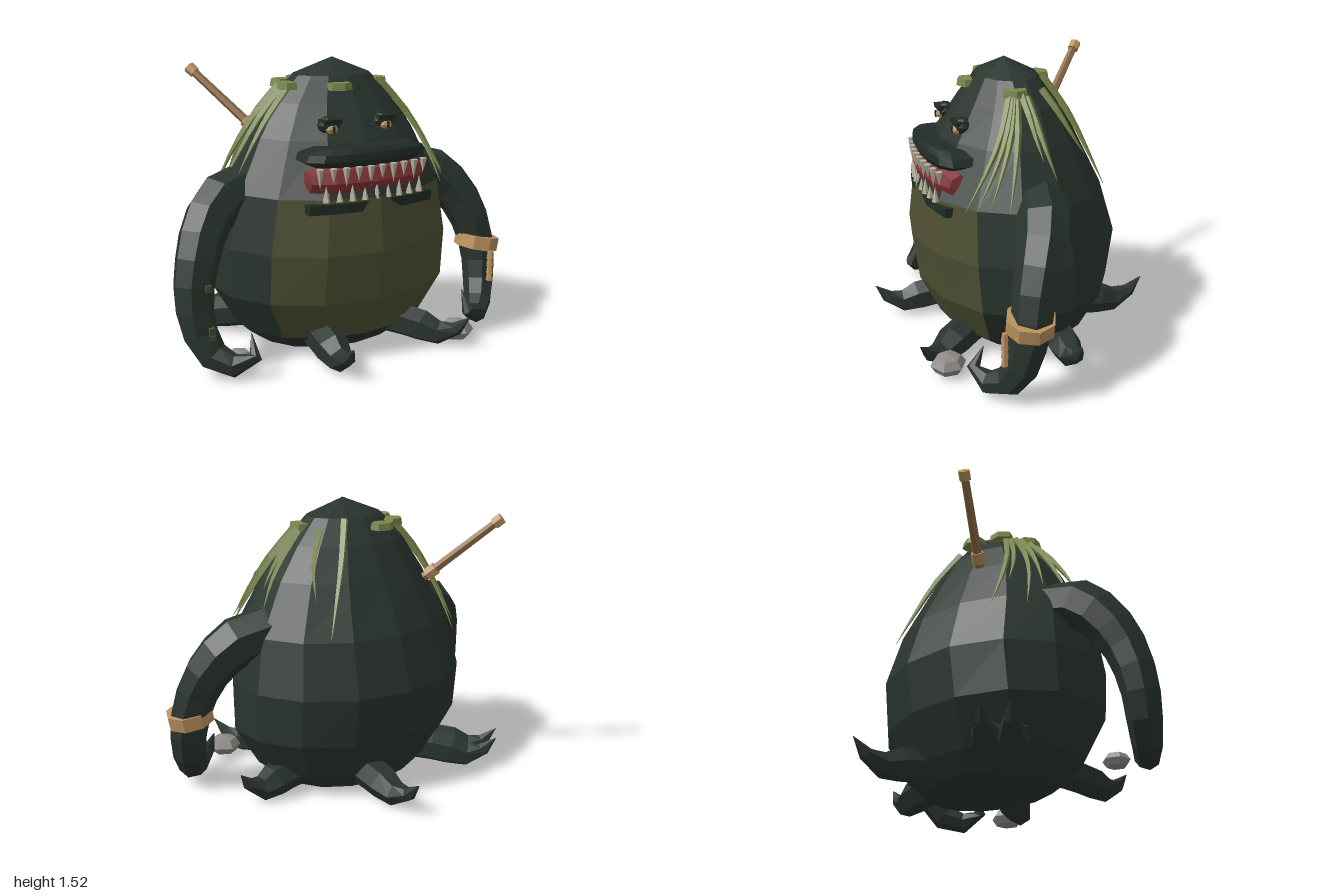
import * as THREE from 'three';

const mat = (name, color) => {
  const m = new THREE.MeshStandardMaterial({ color, flatShading: true });
  m.name = name;
  return m;
};

// Body rings: height, half width, front z, back z
const RINGS = [
  [0, 0, 0, 0], [0, 0.4, 0.31, -0.3], [0.1, 0.54, 0.43, -0.38], [0.32, 0.67, 0.54, -0.49],
  [0.58, 0.67, 0.575, -0.53], [0.86, 0.61, 0.54, -0.445], [1.13, 0.47, 0.4, -0.31],
  [1.3, 0.35, 0.29, -0.22], [1.43, 0.22, 0.2, -0.12], [1.515, 0, 0.05, 0.05],
];
const SIDES = 14;

function ringPoint([y, rx, zf, zb], a) {
  return [rx * Math.sin(a), y, (zf + zb) / 2 + ((zf - zb) / 2) * Math.cos(a)];
}

// Point on the body skin at an angle (degrees from the front) and a height
function skin(deg, y, lift) {
  let i = 2;
  while (i < RINGS.length - 2 && RINGS[i + 1][0] < y) i++;
  const t = (y - RINGS[i][0]) / (RINGS[i + 1][0] - RINGS[i][0]);
  const ring = RINGS[i].map((v, k) => v + (RINGS[i + 1][k] - v) * t);
  const a = THREE.MathUtils.degToRad(deg);
  const p = new THREE.Vector3(...ringPoint(ring, a));
  return p.add(new THREE.Vector3(Math.sin(a) * lift, lift * 0.5, Math.cos(a) * lift));
}

function bodyGeometry() {
  const pos = [], skinIdx = [], bellyIdx = [];
  RINGS.forEach((r) => {
    for (let j = 0; j < SIDES; j++) pos.push(...ringPoint(r, (j / SIDES) * Math.PI * 2));
  });
  for (let i = 0; i < RINGS.length - 1; i++) {
    for (let j = 0; j < SIDES; j++) {
      const a = i * SIDES + j, b = i * SIDES + ((j + 1) % SIDES);
      const onBelly = i >= 2 && i <= 4 && (j < 2 || j >= SIDES - 2);
      const list = onBelly ? bellyIdx : skinIdx;
      if (i > 0) list.push(a, b, b + SIDES);
      if (i < RINGS.length - 2) list.push(a, b + SIDES, a + SIDES);
    }
  }
  const g = new THREE.BufferGeometry();
  g.setAttribute('position', new THREE.Float32BufferAttribute(pos, 3));
  g.setIndex([...skinIdx, ...bellyIdx]);
  g.addGroup(0, skinIdx.length, 0);
  g.addGroup(skinIdx.length, bellyIdx.length, 1);
  g.computeVertexNormals();
  return g;
}

// Tube along a path whose radius follows a list of values
function taper(points, radii, steps, sides) {
  const curve = new THREE.CatmullRomCurve3(points.map((p) => (p.isVector3 ? p : new THREE.Vector3(...p))));
  const g = new THREE.TubeGeometry(curve, steps, 1, sides);
  const pos = g.attributes.position, v = new THREE.Vector3();
  for (let i = 0; i <= steps; i++) {
    const c = curve.getPointAt(i / steps);
    const f = (i / steps) * (radii.length - 1), k = Math.min(Math.floor(f), radii.length - 2);
    const r = THREE.MathUtils.lerp(radii[k], radii[k + 1], f - k);
    for (let j = 0; j <= sides; j++) {
      const n = i * (sides + 1) + j;
      v.fromBufferAttribute(pos, n).sub(c).multiplyScalar(r).add(c);
      pos.setXYZ(n, v.x, v.y, v.z);
    }
  }
  g.computeVertexNormals();
  return g;
}

// Move each vertex's z by a rule of x and z
function reshapeZ(g, rule) {
  const p = g.attributes.position;
  for (let i = 0; i < p.count; i++) p.setZ(i, rule(p.getX(i), p.getZ(i)));
  g.computeVertexNormals();
  return g;
}

export function createModel() {
  const M = {
    skin: mat('dark green skin', 0x2a342e),
    lip: mat('darker green', 0x222c27),
    belly: mat('olive belly', 0x4d4f32),
    moss: mat('moss', 0x79864a),
    gum: mat('mouth red', 0x7f3236),
    bone: mat('bone', 0xb9b39f),
    tan: mat('tan binding', 0xbb925e),
    wood: mat('wood', 0x8f6b46),
    stone: mat('stone', 0x8d8a87),
  };
  const root = new THREE.Group();
  root.name = 'swampCreature';
  const add = (name, g, m, p = [0, 0, 0], parent = root) => {
    const mesh = new THREE.Mesh(g, m);
    mesh.name = name;
    mesh.position.set(...p);
    parent.add(mesh);
    return mesh;
  };
  const lathe = (profile, n) => new THREE.LatheGeometry(profile.map((p) => new THREE.Vector2(...p)), n);

  add('body', bodyGeometry(), [M.skin, M.belly]);

  // Mouth: thick upper lip, red gums, lower lip
  const upper = lathe([[0, -0.045], [0.85, -0.045], [1, -0.015], [0.95, 0.02], [0.75, 0.045], [0, 0.05]], 14);
  reshapeZ(upper, (x, z) => Math.sign(z) * Math.abs(z) ** 0.6).scale(0.36, 1, 0.15);
  add('upperLip', upper, M.lip, [-0.01, 1.062, 0.372]);
  add('lowerLip', reshapeZ(new THREE.BoxGeometry(0.72, 0.05, 0.13, 8, 1, 1), (x, z) => z - 0.4 * x * x), M.lip, [-0.01, 0.818, 0.468]);
  const gum = lathe([[0, -0.34], [0.06, -0.33], [0.085, -0.22], [0.09, 0], [0.085, 0.22], [0.06, 0.33], [0, 0.34]], 8);
  gum.rotateZ(Math.PI / 2);
  add('gums', reshapeZ(gum, (x, z) => z - 0.5 * x * x), M.gum, [-0.01, 0.94, 0.445]);
  for (let i = 0; i < 10; i++) {
    const x = -0.315 + i * 0.067, z = 0.525 - 0.4 * x * x, h = i % 2 ? 0.075 : 0.1;
    add('upperTooth', new THREE.ConeGeometry(0.02, h, 5).rotateX(Math.PI), M.bone, [x, 1.02 - h / 2, z]);
    if (i < 9) add('lowerTooth', new THREE.ConeGeometry(0.02, h * 0.85, 5), M.bone, [x + 0.034, 0.852 + h * 0.42, z]);
  }

  // Eyes: dark socket, amber eye, slit pupil and heavy lid
  for (const x of [-0.175, 0.145]) {
    const socket = add('eyeSocket', new THREE.IcosahedronGeometry(0.058, 1), M.lip, [x, 1.205, 0.325]);
    socket.scale.set(1.08, 0.8, 0.8);
    const eye = add('eye', new THREE.SphereGeometry(0.036, 8, 6), M.tan, [x, 1.187, 0.356]);
    eye.scale.set(1, 0.68, 0.7);
    add('pupil', new THREE.BoxGeometry(0.012, 0.035, 0.008), M.lip, [x, 1.187, 0.379]);
    add('eyelid', new THREE.BoxGeometry(0.1, 0.022, 0.07), M.lip, [x, 1.225, 0.34]);
  }

  // Long arms curling into a hooked hand
  const armPath = [[0.42, 0.84, 0.03], [0.59, 0.86, 0.05], [0.745, 0.755, 0.11], [0.84, 0.58, 0.18], [0.885, 0.38, 0.22],
    [0.87, 0.2, 0.26], [0.82, 0.09, 0.32], [0.75, 0.06, 0.39], [0.68, 0.08, 0.44], [0.64, 0.13, 0.43], [0.65, 0.21, 0.385]];
  for (const s of [1, -1]) {
    const pts = armPath.map(([x, y, z]) => [x * s, y, z]);
    add(s > 0 ? 'leftArm' : 'rightArm', taper(pts, [0.13, 0.14, 0.13, 0.12, 0.11, 0.1, 0.09, 0.075, 0.045, 0.002], 12, 7), M.skin);
  }
  for (const [y, z] of [[0.45, 0.3], [0.24, 0.33], [0.2, 0.33]]) {
    add('armMoss', new THREE.BoxGeometry(0.03, 0.035, 0.04), M.belly, [-0.84, y, z]);
  }

  // Bracelet with a hanging string of beads
  const cuff = add('bracelet', new THREE.CylinderGeometry(0.125, 0.125, 0.075, 8), M.tan, [0.875, 0.425, 0.22]);
  cuff.rotation.z = -0.2;
  for (let i = 0; i < 4; i++) {
    add('bead', new THREE.CylinderGeometry(0.014, 0.02, 0.045, 6), M.tan, [0.875, 0.37 - i * 0.043, 0.35]);
  }

  // Toe claws: root and tip on the ground plan
  const claws = [[-0.22, 0.2, -0.27, 0.74], [0.15, 0.2, 0.49, 0.67], [0.13, -0.15, 0.12, -0.75],
    [0.3, -0.08, 0.77, -0.1], [-0.25, -0.14, -0.63, -0.55], [-0.3, -0.08, -0.73, -0.45]];
  for (const [x0, z0, x1, z1] of claws) {
    const at = (t, y) => [x0 + (x1 - x0) * t, y, z0 + (z1 - z0) * t];
    add('toeClaw', taper([at(0, 0.11), at(0.45, 0.095), at(0.77, 0.06), at(1, 0.17)], [0.08, 0.09, 0.09, 0.055, 0.001], 6, 6), M.skin);
  }

  // Moss pads around the crown
  for (const [x, z, a] of [[-0.23, -0.09, 0.5], [-0.09, -0.175, 0.2], [-0.275, 0.07, 1.5], [-0.06, 0.235, 0], [0.26, 0.08, 1.4]]) {
    const pad = add('mossPad', new THREE.CylinderGeometry(0.064, 0.072, 0.036, 6), M.moss, [x, 1.382, z]);
    pad.rotation.y = a;
    pad.scale.z = 0.8;
  }

  // Hanging moss strands: start angle, start height, end angle, end height
  const strands = [[70, 1.37, 46, 0.84], [74, 1.37, 53, 0.87], [76, 1.37, 60, 0.88], [79, 1.37, 70, 0.86], [86, 1.37, 93, 1.08],
    [92, 1.36, 100, 0.99], [152, 1.42, 143, 0.87], [122, 1.38, 134, 1.05], [-76, 1.36, -80, 0.95], [-88, 1.37, -93, 0.86],
    [-102, 1.36, -108, 0.92], [-108, 1.37, -118, 0.78], [-116, 1.37, -127, 0.95], [-122, 1.36, -136, 0.78]];
  for (const [a0, y0, a1, y1] of strands) {
    const pts = [0, 0.33, 0.66, 1].map((t) => skin(a0 + (a1 - a0) * t, y0 + (y1 - y0) * t, 0.01 + 0.02 * t));
    add('mossStrand', taper(pts, [0.021, 0.018, 0.011, 0.001], 6, 4), M.moss);
  }

  // Wooden shaft stuck in the back, bound at both ends
  const foot = new THREE.Vector3(-0.29, 1.1, -0.29), tip = new THREE.Vector3(-0.545, 1.425, -0.585);
  const shaft = new THREE.Group();
  shaft.name = 'shaft';
  shaft.position.copy(foot);
  const length = foot.distanceTo(tip);
  shaft.quaternion.setFromUnitVectors(new THREE.Vector3(0, 1, 0), tip.clone().sub(foot).normalize());
  add('shaftRod', new THREE.CylinderGeometry(0.022, 0.026, length, 6), M.wood, [0, length / 2, 0], shaft);
  add('shaftCollar', new THREE.CylinderGeometry(0.036, 0.036, 0.06, 6), M.tan, [0, 0.05, 0], shaft);
  add('shaftCap', new THREE.CylinderGeometry(0.032, 0.032, 0.05, 6), M.tan, [0, length - 0.015, 0], shaft);
  root.add(shaft);

  // Loose stones
  for (const [x, z, r] of [[-0.665, 0.26, 0.07], [0.505, 0.53, 0.095]]) {
    const rock = add('stone', new THREE.SphereGeometry(r, 6, 4), M.stone, [x, r * 0.6, z]);
    rock.scale.y = 0.6;
    rock.rotation.y = Math.PI / 6;
  }
  return root;
}
